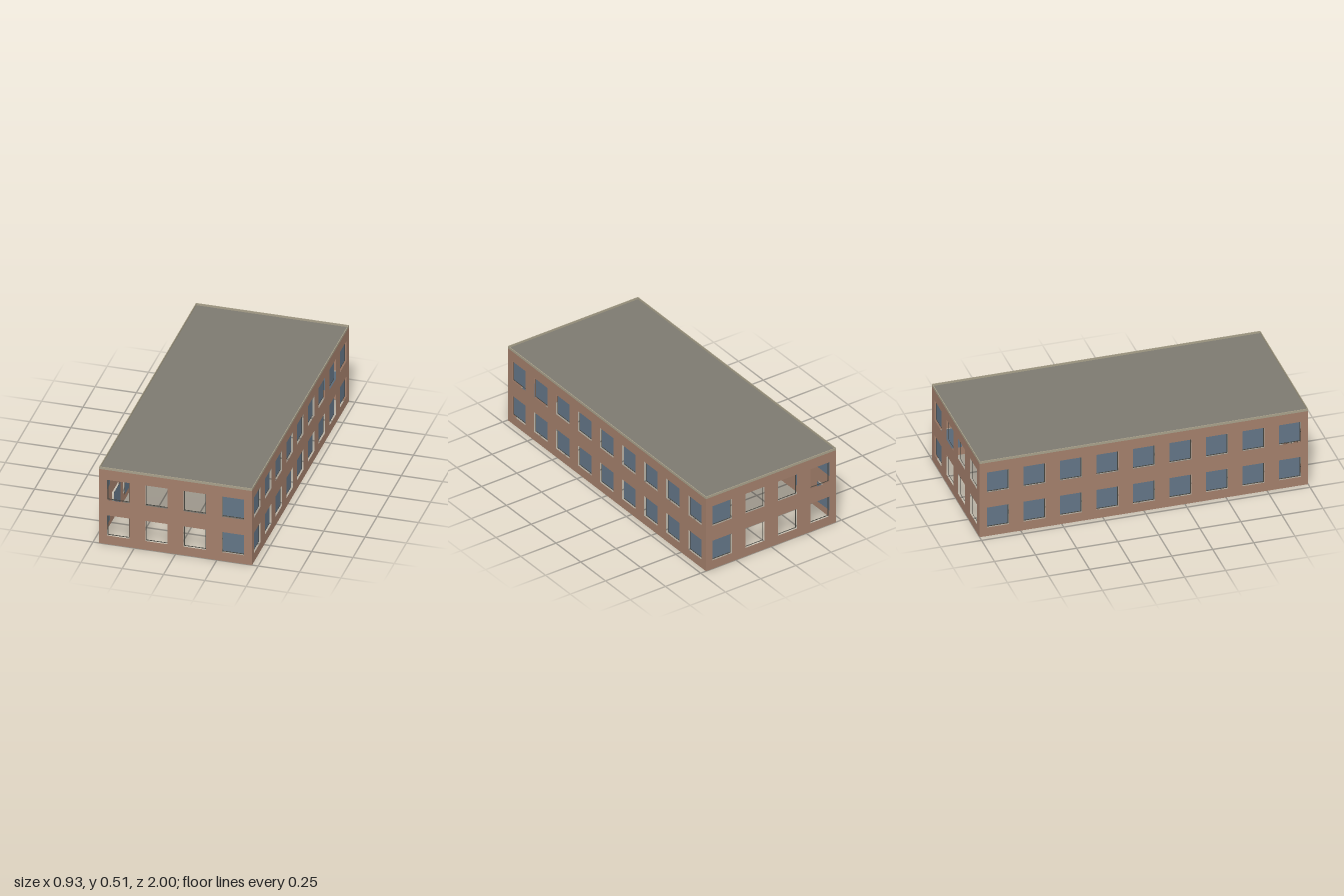
import * as THREE from 'three';

const W = 0.925, L = 2, WALL_H = 0.495, TOP = 0.51;
const WIN = 0.135, RECESS = 0.012, FRAME = 0.005;
const ROWS = [0.125, 0.362];

function material(name, color, side = THREE.DoubleSide) {
  const m = new THREE.MeshStandardMaterial({ color, side });
  m.name = name;
  return m;
}

// Rectangle outline centred on (x, y)
function rect(x, y, w, h, Type = THREE.Shape) {
  const p = new Type();
  p.moveTo(x - w / 2, y - h / 2);
  p.lineTo(x + w / 2, y - h / 2);
  p.lineTo(x + w / 2, y + h / 2);
  p.lineTo(x - w / 2, y + h / 2);
  p.closePath();
  return p;
}

export function createModel() {
  const brick = material('brick', 0xa37f6b);
  const glass = material('glass', 0x637586);
  const frame = material('window frame', 0x45453f);
  const trim = material('trim', 0xa8a08a);
  const roofGrey = material('roof grey', 0x7d7a70);

  const model = new THREE.Group();
  model.name = 'building';

  function add(parent, name, geometry, mat, x = 0, y = 0, z = 0) {
    const mesh = new THREE.Mesh(geometry, mat);
    mesh.name = name;
    mesh.position.set(x, y, z);
    parent.add(mesh);
    return mesh;
  }

  // Window frame: thin square ring set just behind the wall
  const ringShape = rect(0, 0, WIN, WIN);
  ringShape.holes.push(rect(0, 0, WIN - 2 * FRAME, WIN - 2 * FRAME, THREE.Path));
  const ringGeo = new THREE.ShapeGeometry(ringShape);
  const paneGeo = new THREE.PlaneGeometry(WIN, WIN);

  // One wall facing local +z, with a grid of window openings
  function makeWall(name, length, columns, distance, angle, isGlazed) {
    const wall = new THREE.Group();
    wall.name = name;
    const sheet = rect(0, WALL_H / 2, length, WALL_H);
    const pitch = length / columns;
    for (const y of ROWS) {
      for (let i = 0; i < columns; i++) {
        const x = (i - (columns - 1) / 2) * pitch;
        sheet.holes.push(rect(x, y, WIN, WIN, THREE.Path));
        add(wall, 'windowFrame', ringGeo, frame, x, y, distance - RECESS + 0.001);
        if (isGlazed(i)) add(wall, 'windowPane', paneGeo, glass, x, y, distance - RECESS);
      }
    }
    add(wall, 'wallSheet', new THREE.ShapeGeometry(sheet), brick, 0, 0, distance);
    wall.rotation.y = angle;
    model.add(wall);
  }

  // End walls are glazed only in the column nearest +x
  makeWall('frontWall', W, 4, L / 2, 0, (i) => i === 3);
  makeWall('backWall', W, 4, L / 2, Math.PI, (i) => i === 0);
  makeWall('leftWall', L, 9, W / 2, Math.PI / 2, () => true);
  makeWall('rightWall', L, 9, W / 2, -Math.PI / 2, () => true);

  // Flat roof sheet, sunk behind the trim
  const roof = add(model, 'roof', new THREE.PlaneGeometry(W - 0.004, L - 0.004), roofGrey, 0, 0.497, 0);
  roof.rotation.x = -Math.PI / 2;

  // Low trim around the roof edge
  const trimShape = rect(0, 0, W, L);
  trimShape.holes.push(rect(0, 0, W - 0.008, L - 0.008, THREE.Path));
  const trimGeo = new THREE.ExtrudeGeometry(trimShape, { depth: TOP - WALL_H, bevelEnabled: false });
  trimGeo.rotateX(-Math.PI / 2);
  add(model, 'roofTrim', trimGeo, trim, 0, WALL_H, 0);

  return model;
}
